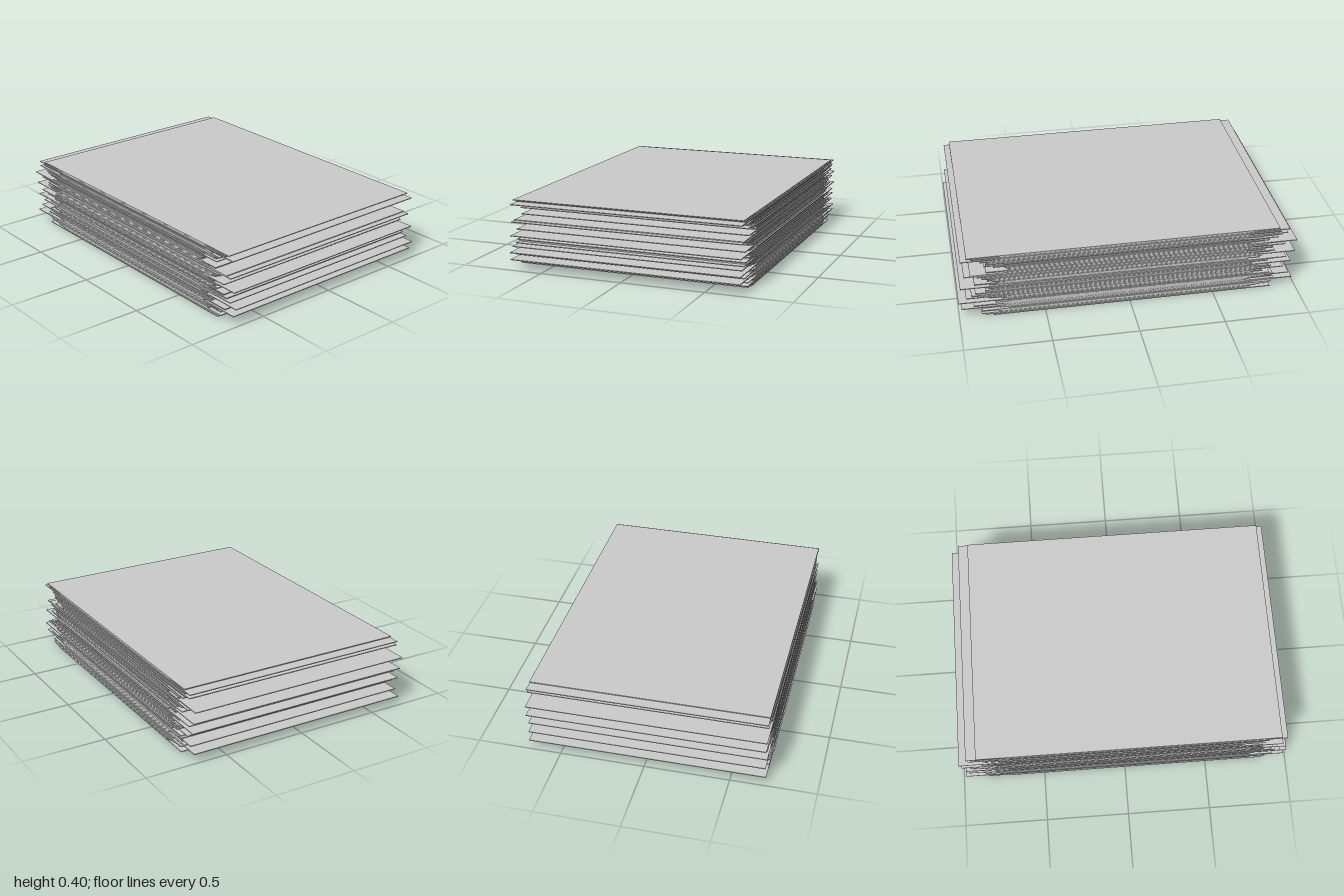
import * as THREE from 'three';

// Small seeded generator so the pile is always stacked the same way
function seeded(seed) {
  return () => {
    seed = (seed * 1664525 + 1013904223) % 4294967296;
    return seed / 4294967296;
  };
}

export function createModel() {
  const model = new THREE.Group();
  model.name = 'paperStack';

  const paper = new THREE.MeshStandardMaterial({ color: 0xcccccc });
  paper.name = 'paper grey';

  const count = 80;
  const pitch = 0.405 / count;
  const thickness = pitch * 0.96;
  const random = seeded(11);

  // Ends of the sheets that stick out furthest: [height, reach]
  const leftOut = [[0.402, 0.94], [0.38, 0.975], [0.275, 0.96], [0.2, 0.985],
    [0.13, 0.955], [0.105, 1.0], [0.06, 0.985], [0.002, 0.8]];
  const rightOut = [[0.402, 0.89], [0.39, 0.95], [0.365, 0.94], [0.305, 1.0], [0.235, 0.99],
    [0.2, 0.94], [0.165, 0.97], [0.09, 0.96], [0.05, 0.985], [0.002, 0.85]];
  const level = (y) => Math.min(count - 1, Math.floor(y / pitch));
  const reach = (list, i) => {
    const loose = 0.69 + 0.24 * random() ** 1.2;
    const known = list.find(([y]) => level(y) === i);
    return known ? known[1] : loose;
  };

  // One thin sheet per layer, with uneven ends and slightly shuffled long edges
  for (let i = 0; i < count; i++) {
    const x0 = -reach(rightOut, i);
    const x1 = reach(leftOut, i);
    const sheet = new THREE.Mesh(new THREE.BoxGeometry(x1 - x0, thickness, 1.4), paper);
    sheet.position.set((x0 + x1) / 2, i * pitch + thickness / 2, (random() - 0.5) * 0.01);
    sheet.name = `sheet${i + 1}`;
    model.add(sheet);
  }
  return model;
}
